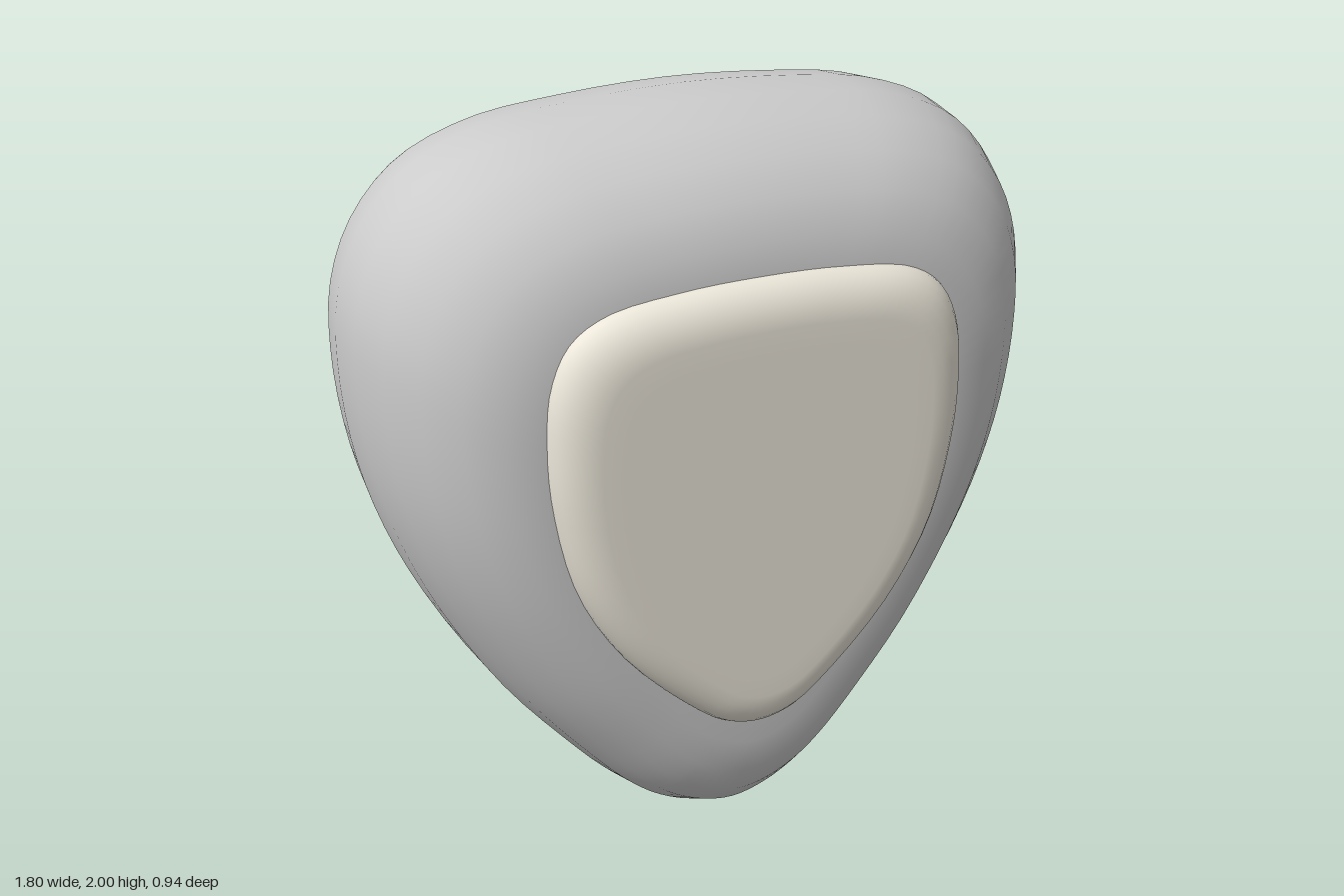
import * as THREE from 'three';

// Closed symmetric outline from its right half, listed bottom to top
function outline(half, count) {
  const left = half.slice(1, -1).reverse().map(([x, y]) => [-x, y]);
  const pts = [...half, ...left].map(([x, y]) => new THREE.Vector3(x, y, 0));
  return new THREE.CatmullRomCurve3(pts, true, 'centripetal').getPoints(count).slice(0, count);
}

// Stack scaled copies of the outline along z; layers are [z, scaleX, scaleY], back to front
function loft(points, centreY, layers) {
  const n = points.length;
  const positions = [];
  const index = [];
  layers.forEach(([z, sx, sy], i) => {
    points.forEach((p, j) => {
      positions.push(p.x * sx, centreY + (p.y - centreY) * sy, z);
      if (i === layers.length - 1) return;
      const a = i * n + j;
      const b = i * n + ((j + 1) % n);
      index.push(a, b, b + n, a, b + n, a + n);
    });
  });
  const geometry = new THREE.BufferGeometry();
  geometry.setAttribute('position', new THREE.Float32BufferAttribute(positions, 3));
  geometry.setIndex(index);
  geometry.computeVertexNormals();
  return geometry;
}

// Elliptical edge rounding between two angles, in degrees
function rounding(from, to, step, z, depth, insetX, insetY) {
  const layers = [];
  for (let d = from; d <= to; d += step) {
    const a = THREE.MathUtils.degToRad(d);
    const k = 1 - Math.cos(a);
    layers.push([z + depth * Math.sin(a), 1 - insetX * k, 1 - insetY * k]);
  }
  return layers;
}

export function createModel() {
  const group = new THREE.Group();
  const add = (name, geometry, color) => {
    const mesh = new THREE.Mesh(geometry, new THREE.MeshStandardMaterial({ color }));
    mesh.name = name;
    group.add(mesh);
  };

  // Thick pebble-like body with fully rounded rim and flat front and back
  const bodyOutline = outline([
    [0, 0], [0.1, 0.02], [0.2, 0.07], [0.29, 0.145], [0.41, 0.28], [0.58, 0.5],
    [0.74, 0.78], [0.83, 1], [0.88, 1.2], [0.9, 1.42], [0.885, 1.6], [0.82, 1.755],
    [0.7, 1.88], [0.52, 1.955], [0.3, 1.985], [0, 2],
  ], 96);
  add('body', loft(bodyOutline, 1, [
    [-0.47, 0, 0], [-0.47, 0.45, 0.48],
    ...rounding(-90, 90, 15, -0.035, 0.435, 0.4, 0.37),
    [0.4, 0.45, 0.48], [0.4, 0, 0],
  ]), 0xcccccc);

  // Raised soft-edged panel on the front
  const panelOutline = outline([
    [0, 0.44], [0.09, 0.46], [0.175, 0.52], [0.36, 0.71], [0.48, 0.92], [0.535, 1.15],
    [0.545, 1.32], [0.53, 1.46], [0.48, 1.56], [0.39, 1.615], [0.2, 1.643], [0, 1.65],
  ], 80);
  add('frontPanel', loft(panelOutline, 1.045, [
    [0.25, 0, 0], [0.25, 1, 1],
    ...rounding(0, 90, 15, 0.39, 0.08, 0.2, 0.18),
    [0.47, 0.7, 0.72], [0.47, 0, 0],
  ]), 0xece7da);

  return group;
}
